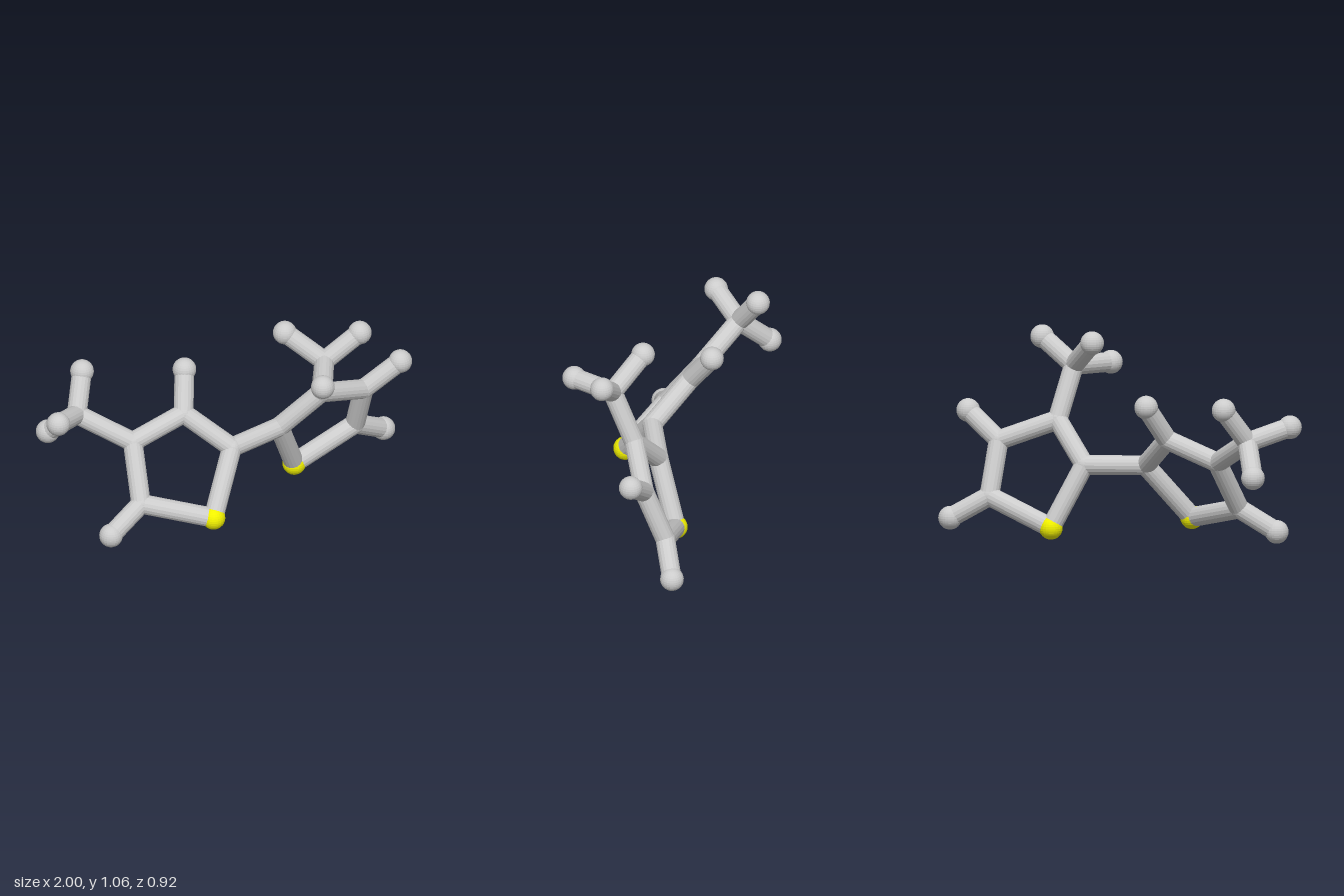
import * as THREE from 'three';

const BOND_R = 0.051, JOINT_R = 0.052, BALL_R = 0.061;

const grey = new THREE.MeshStandardMaterial({ color: 0xcccccc, flatShading: true });
const yellow = new THREE.MeshStandardMaterial({ color: 0xf0f000, flatShading: true });

// Ring corners run: sulfur, link carbon, then around the ring; tips are end balls
const halves = {
  rightHalf: {
    ring: [[-0.22, 0.105, 0.235], [-0.04, 0.385, 0.06], [-0.24, 0.55, -0.1], [-0.525, 0.45, -0.1], [-0.56, 0.19, 0.085]],
    ringTips: { 2: [-0.18, 0.73, -0.225], 4: [-0.75, 0.075, 0.135] },
    methylOn: 3,
    methyl: [-0.77, 0.59, -0.255],
    methylTips: [[-0.94, 0.66, -0.105], [-0.69, 0.765, -0.37], [-0.87, 0.43, -0.398]],
  },
  leftHalf: {
    ring: [[0.4, 0.061, -0.145], [0.265, 0.38, -0.03], [0.46, 0.59, 0.06], [0.745, 0.48, -0.045], [0.745, 0.205, -0.155]],
    ringTips: { 3: [0.935, 0.62, -0.01], 4: [0.935, 0.09, -0.225] },
    methylOn: 2,
    methyl: [0.425, 0.86, 0.18],
    methylTips: [[0.26, 1.0, 0.052], [0.615, 0.995, 0.2], [0.32, 0.855, 0.4]],
  },
};

function addBall(parent, name, p, radius, material = grey) {
  const ball = new THREE.Mesh(new THREE.SphereGeometry(radius, 24, 16), material);
  ball.name = name;
  ball.position.set(...p);
  parent.add(ball);
}

function addBond(parent, name, a, b) {
  const from = new THREE.Vector3(...a), to = new THREE.Vector3(...b);
  const dir = to.clone().sub(from);
  const bond = new THREE.Mesh(new THREE.CylinderGeometry(BOND_R, BOND_R, dir.length(), 18), grey);
  bond.name = name;
  bond.position.copy(from).add(to).multiplyScalar(0.5);
  bond.quaternion.setFromUnitVectors(new THREE.Vector3(0, 1, 0), dir.normalize());
  parent.add(bond);
}

function buildHalf(name, h) {
  const half = new THREE.Group();
  half.name = name;

  // Five-sided ring with one yellow corner
  h.ring.forEach((p, i) => {
    if (i === 0) addBall(half, 'sulfurBall', p, BALL_R, yellow);
    else addBall(half, 'carbonJoint', p, JOINT_R);
    addBond(half, 'ringBond', p, h.ring[(i + 1) % 5]);
  });

  // Single hydrogens on the ring
  for (const [i, p] of Object.entries(h.ringTips)) {
    addBond(half, 'hydrogenBond', h.ring[i], p);
    addBall(half, 'hydrogenBall', p, BALL_R);
  }

  // Three-armed side branch
  const methyl = new THREE.Group();
  methyl.name = 'methylBranch';
  addBond(methyl, 'branchBond', h.ring[h.methylOn], h.methyl);
  addBall(methyl, 'carbonJoint', h.methyl, JOINT_R);
  for (const p of h.methylTips) {
    addBond(methyl, 'hydrogenBond', h.methyl, p);
    addBall(methyl, 'hydrogenBall', p, BALL_R);
  }
  half.add(methyl);
  return half;
}

export function createModel() {
  const model = new THREE.Group();
  model.name = 'molecule';
  for (const [name, h] of Object.entries(halves)) model.add(buildHalf(name, h));
  // Bond joining the two rings
  addBond(model, 'linkBond', halves.rightHalf.ring[1], halves.leftHalf.ring[1]);
  return model;
}
